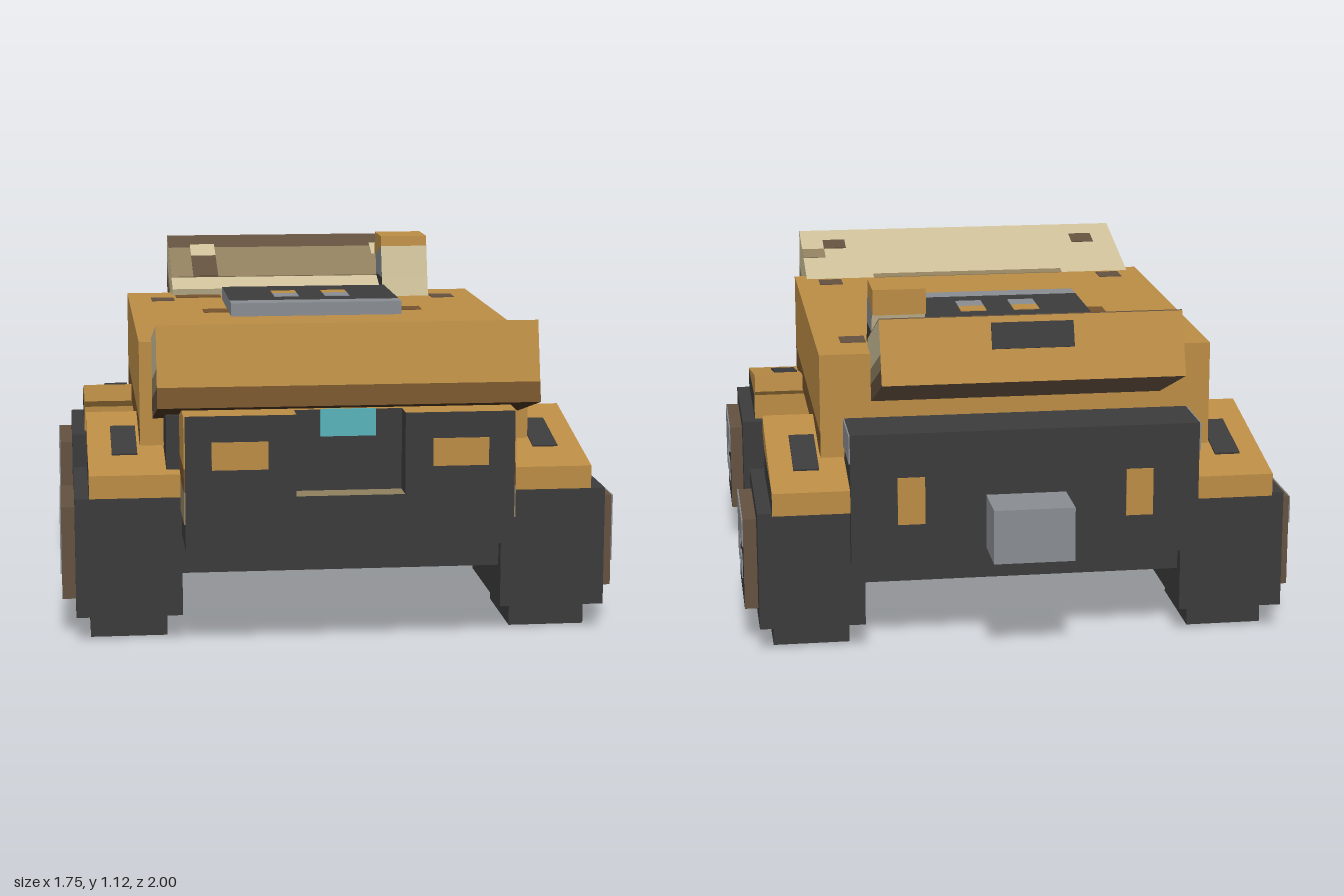
import * as THREE from 'three';

const mat = (name, color) => {
  const m = new THREE.MeshStandardMaterial({ color });
  m.name = name;
  return m;
};

export function createModel() {
  const ochre = mat('ochre', 0xba8c45);
  const brown = mat('brown', 0x74522c);
  const cream = mat('cream', 0xcdbf99);
  const tan = mat('tan', 0x8f7f5e);
  const taupe = mat('taupe', 0x63513f);
  const grey = mat('grey', 0x888c91);
  const charcoal = mat('charcoal', 0x3b3b3b);
  const teal = mat('teal', 0x58b2ba);
  const umber = mat('umber', 0x45311b);

  const model = new THREE.Group();
  model.name = 'vehicle';

  const group = (name, parent = model) => {
    const g = new THREE.Group();
    g.name = name;
    parent.add(g);
    return g;
  };

  // Box from extents; an array of materials is ordered +x, -x, +y, -y, +z, -z
  const box = (parent, name, [x0, x1], [y0, y1], [z0, z1], material) => {
    const mesh = new THREE.Mesh(new THREE.BoxGeometry(x1 - x0, y1 - y0, z1 - z0), material);
    mesh.position.set((x0 + x1) / 2, (y0 + y1) / 2, (z0 + z1) / 2);
    mesh.name = name;
    parent.add(mesh);
    return mesh;
  };

  // Side profile of [z, y] points extruded across x
  const profile = (parent, name, points, x0, x1, materials) => {
    const shape = new THREE.Shape(points.map(([z, y]) => new THREE.Vector2(z, y)));
    const geo = new THREE.ExtrudeGeometry(shape, { depth: x1 - x0, bevelEnabled: false });
    geo.rotateY(-Math.PI / 2).translate(x1, 0, 0);
    const mesh = new THREE.Mesh(geo, materials);
    mesh.name = name;
    parent.add(mesh);
    return mesh;
  };

  const span = (s, a, b) => (s > 0 ? [a, b] : [-b, -a]);
  const T = 0.006;

  // Hull and lower slab
  const hull = group('hull');
  box(hull, 'lowerSlab', [-0.5, 0.5], [0.21, 0.295], [-0.75, 0.75], charcoal);
  box(hull, 'mainHull', [-0.545, 0.545], [0.295, 0.71], [-0.83, 0.75], charcoal);
  for (const s of [-1, 1]) {
    box(hull, 'rearSidePanel', span(s, 0.545, 0.549), [0.62, 0.71], [-0.83, -0.62], grey);
    for (const z of [0.25, 0.04, -0.208])
      box(hull, 'sidePort', span(s, 0.545, 0.549), [0.375, 0.458], [z - 0.042, z + 0.042], grey);
    box(hull, 'rearLamp', span(s, 0.315, 0.4), [0.42, 0.57], [-0.834, -0.83], ochre);
  }
  box(hull, 'towBlock', [-0.125, 0.125], [0.335, 0.505], [-1, -0.83], grey);

  // Front box with a central recess and banded sides
  const nose = group('nose');
  box(nose, 'noseLower', [-0.5, 0.5], [0.34, 0.5], [0.75, 1],
    [charcoal, charcoal, tan, brown, charcoal, charcoal]);
  box(nose, 'noseRecess', [-0.165, 0.165], [0.5, 0.75], [0.75, 0.92],
    [charcoal, charcoal, ochre, charcoal, charcoal, charcoal]);
  box(nose, 'frontSensor', [-0.085, 0.085], [0.668, 0.752], [0.92, 0.926], teal);
  for (const s of [-1, 1]) {
    box(nose, 'noseCheek', span(s, 0.165, 0.5), [0.5, 0.75], [0.75, 1],
      [charcoal, charcoal, ochre, charcoal, charcoal, charcoal]);
    box(nose, 'headlamp', span(s, 0.25, 0.42), [0.585, 0.67], [1, 1.003], ochre);
    [[0.59, 0.75, ochre], [0.52, 0.59, brown], [0.42, 0.52, tan]].forEach(([a, b, m]) =>
      box(nose, 'noseSideBand', span(s, 0.5, 0.504), [a, b], [0.75, 1], m));
  }

  // Roof shell with a darker lower band
  const roof = group('roof');
  box(roof, 'roofUpper', [-0.62, 0.62], [0.66, 0.915], [-0.625, 0.583], ochre);
  box(roof, 'roofLower', [-0.62, 0.62], [0.585, 0.66], [-0.625, 0.583],
    [brown, brown, ochre, charcoal, ochre, ochre]);
  for (const x of [-0.5, 0.5])
    for (const z of [-0.43, 0.46])
      box(roof, 'roofBolt', [x - 0.04, x + 0.04], [0.915, 0.918], [z - 0.04, z + 0.04], taupe);
  for (const s of [-1, 1])
    box(roof, 'roofPatch', span(s, 0.29, 0.375), [0.915, 0.918], [-0.15, -0.07], brown);
  box(roof, 'rearRoofPatch', [-0.45, -0.29], [0.915, 0.918], [-0.535, -0.47], brown);

  // Roof hatch
  const hatch = group('hatch');
  box(hatch, 'hatchPlate', [-0.29, 0.29], [0.915, 0.96], [-0.415, -0.04],
    [grey, grey, charcoal, grey, grey, grey]);
  box(hatch, 'hatchLip', [-0.29, 0.29], [0.915, 0.96], [-0.04, 0.035], grey);
  for (const s of [-1, 1]) {
    box(hatch, 'hatchSlotRear', span(s, 0.045, 0.13), [0.96, 0.963], [-0.27, -0.2], ochre);
    box(hatch, 'hatchSlotFront', span(s, 0.045, 0.13), [0.96, 0.963], [-0.2, -0.12], grey);
  }

  // Tilted panels made of three coloured layers, placed by their upper outer edge
  const panel = (name, half, height, z0, z1, pos, tilt, front, back, under) => {
    const g = group(name);
    g.position.set(0, ...pos);
    g.rotation.x = tilt;
    const cuts = [0, -0.52, -0.75, -1].map((c) => c * height);
    [cream, tan, taupe].forEach((side, i) =>
      box(g, name + 'Layer', [-half, half], [cuts[i + 1], cuts[i]], [z0, z1],
        [side, side, cream, under, front[i], back[i]]));
    return g;
  };

  const frontVisor = panel('frontVisor', 0.58, 0.25, -0.415, 0, [1.015, 0.925], -0.246,
    [ochre, ochre, brown], [tan, tan, tan], umber);
  for (const x of [-0.46, 0.46])
    box(frontVisor, 'visorBolt', [x - 0.04, x + 0.04], [0, 0.003], [-0.16, -0.09], taupe);
  box(frontVisor, 'visorEdgePatch', [0.5, 0.58], [0, 0.003], [-0.235, -0.165], tan);
  box(frontVisor, 'visorSeam', [-0.34, 0.34], [0, 0.003], [-0.415, -0.385], tan);

  const rearPanel = panel('rearPanel', 0.46, 0.2, 0, 0.42, [1.09, -0.92], 0.367,
    [cream, tan, tan], [ochre, ochre, ochre], taupe);
  box(rearPanel, 'panelTopShade', [-0.46, 0.46], [0, 0.003], [0, 0.1], taupe);
  box(rearPanel, 'panelTopField', [-0.46, 0.46], [0, 0.003], [0.1, 0.33], tan);
  box(rearPanel, 'panelTopMark', [-0.38, -0.29], [0.003, T], [0.17, 0.33], taupe);
  for (const x of [-0.335, 0.335])
    box(rearPanel, 'panelTopBolt', [x - 0.045, x + 0.045], [0.003, T], [0.08, 0.17], cream);
  box(rearPanel, 'panelRearSlot', [-0.125, 0.125], [-0.1, -0.02], [-0.004, 0], charcoal);

  // Leaning roof pod with its cap
  const pod = group('roofPod');
  profile(pod, 'podNeckLower', [[-0.44, 0.9], [-0.465, 0.98], [-0.62, 0.98], [-0.6, 0.9]],
    0.29, 0.455, [charcoal, cream]);
  profile(pod, 'podNeckUpper', [[-0.465, 0.98], [-0.495, 1.09], [-0.64, 1.045], [-0.62, 0.98]],
    0.29, 0.455, [grey, cream]);
  profile(pod, 'podCap', [[-0.495, 1.09], [-0.5, 1.125], [-0.665, 1.125], [-0.665, 1.045], [-0.64, 1.045]],
    0.29, 0.455, ochre);

  // Four wheel blocks with hubs and sloping fenders
  for (const s of [-1, 1]) {
    for (const e of [-1, 1]) {
      const wheel = group((e > 0 ? 'front' : 'rear') + (s > 0 ? 'Left' : 'Right') + 'Wheel');
      const zc = e * 0.54;
      box(wheel, 'wheelBlock', span(s, 0.5, 0.83), [0.085, 0.46], [zc - 0.25, zc + 0.25], charcoal);
      box(wheel, 'wheelFoot', span(s, 0.545, 0.785), [0, 0.085], [zc - 0.165, zc + 0.165], charcoal);
      const hubFace = [taupe, taupe, taupe, taupe, taupe, taupe];
      hubFace[s > 0 ? 0 : 1] = charcoal;
      box(wheel, 'hub', span(s, 0.83, 0.872), [0.125, 0.418], [zc - 0.165, zc + 0.165], hubFace);

      // Hub face markings
      const mark = (y, z) =>
        box(wheel, 'hubMark', span(s, 0.872, 0.876), y, [zc + z[0], zc + z[1]], grey);
      mark([0.33, 0.418], [-0.165, 0.165]);
      mark([0.205, 0.33], [0.09, 0.165]);
      mark([0.28, 0.33], [0.02, 0.09]);
      mark([0.2, 0.27], [-0.085, 0]);

      // Fender profile, mirrored for the rear; winding is fixed by the extruder
      const side = (pts) => pts.map(([z, y]) => [e > 0 ? z : z - z * 2 - 0.03, y]);
      const [fx0, fx1] = span(s, 0.5, 0.785);
      profile(wheel, 'fenderBase',
        side([[0.79, 0.46], [0.79, 0.532], [0.335, 0.555], [0.335, 0.46]]), fx0, fx1, [charcoal, ochre]);
      profile(wheel, 'fenderTop',
        side([[0.79, 0.532], [0.255, 0.637], [0.245, 0.58], [0.335, 0.545]]), fx0, fx1, ochre);

      // Dark tread pad lying on the slope
      const zp = e > 0 ? 0.51 : -0.57;
      const pad = box(wheel, 'fenderPad', [-0.04, 0.04], [-0.003, 0.003], [-0.12, 0.12], charcoal);
      pad.position.set(s * 0.67, 0.589, zp);
      pad.rotation.x = e * 0.194;
    }
  }

  return model;
}
